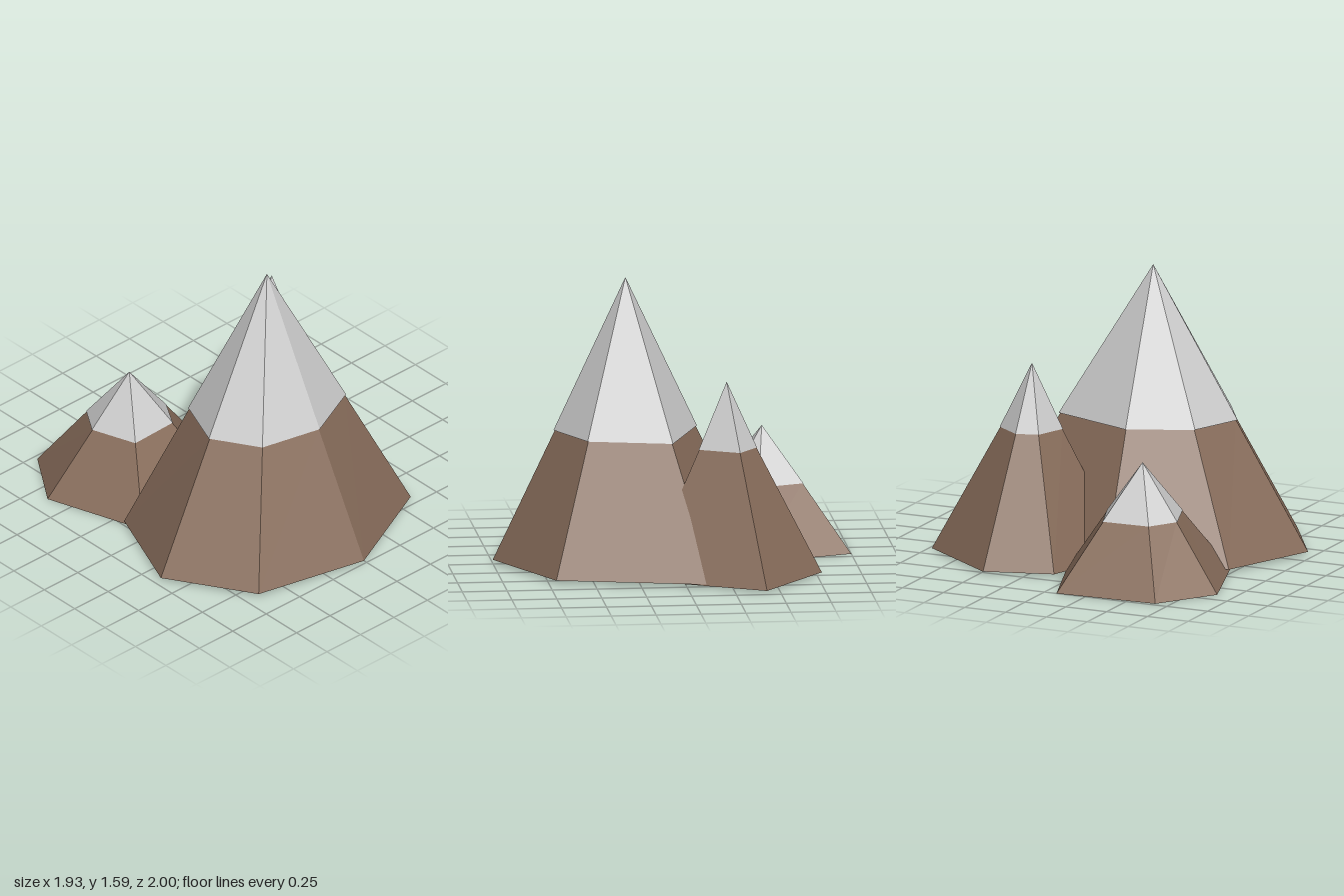
import * as THREE from 'three';

const rockMaterial = new THREE.MeshStandardMaterial({ color: 0x876c5a, flatShading: true });
const snowMaterial = new THREE.MeshStandardMaterial({ color: 0xcccccc, flatShading: true });

// Each peak: apex [x, y, z], base and snow line heights, then [x, z] corners
// running counter-clockwise as seen from above.
const peaks = [
  {
    name: 'mainPeak', apex: [-0.07, 1.59, 0.257], baseY: 0.02, snowY: 0.74,
    base: [[0.80, -0.15], [-0.12, -0.48], [-0.74, -0.18], [-0.965, 0.37], [-0.67, 0.85], [-0.02, 1.0], [0.593, 0.71]],
    snow: [[0.407, 0.042], [-0.09, -0.143], [-0.44, 0.016], [-0.558, 0.317], [-0.397, 0.58], [-0.042, 0.66], [0.296, 0.505]],
  },
  {
    name: 'sidePeak', apex: [0.43, 1.09, -0.254], baseY: 0.013, snowY: 0.72,
    base: [[0.963, -0.423], [0.481, -0.778], [0.10, -0.665], [-0.08, -0.10], [0.61, 0.235]],
    snow: [[0.60, -0.312], [0.452, -0.42], [0.328, -0.383], [0.263, -0.206], [0.487, -0.093]],
  },
  {
    name: 'backPeak', apex: [-0.38, 0.675, -0.534], baseY: 0, snowY: 0.37,
    base: [[0.125, -0.44], [-0.074, -1.0], [-0.667, -0.975], [-0.89, -0.645], [-0.70, -0.07], [-0.07, -0.09]],
    snow: [[-0.143, -0.492], [-0.238, -0.751], [-0.515, -0.74], [-0.615, -0.582], [-0.526, -0.323], [-0.238, -0.333]],
  },
];

const ringAt = (corners, y) => corners.map(([x, z]) => [x, y, z]);

// Closed solid from a bottom ring to a top ring, or to an apex when no top ring is given
function solid(bottom, top, apex) {
  const p = [];
  const n = bottom.length;
  for (let i = 0; i < n; i++) {
    const j = (i + 1) % n;
    if (top) {
      p.push(bottom[i], bottom[j], top[j], bottom[i], top[j], top[i]);
    } else {
      p.push(bottom[i], bottom[j], apex);
    }
    // bottom and top caps as fans
    if (i > 0 && i < n - 1) {
      p.push(bottom[0], bottom[j], bottom[i]);
      if (top) p.push(top[0], top[i], top[j]);
    }
  }
  const geometry = new THREE.BufferGeometry();
  geometry.setAttribute('position', new THREE.Float32BufferAttribute(p.flat(), 3));
  geometry.computeVertexNormals();
  return geometry;
}

function addMesh(parent, name, geometry, material) {
  const mesh = new THREE.Mesh(geometry, material);
  mesh.name = name;
  parent.add(mesh);
}

export function createModel() {
  const model = new THREE.Group();
  model.name = 'mountains';
  for (const { name, apex, baseY, snowY, base, snow } of peaks) {
    const peak = new THREE.Group();
    peak.name = name;
    // rock rim sits just inside the snow edge
    const rim = snow.map(([x, z]) => [apex[0] + (x - apex[0]) * 0.98, apex[2] + (z - apex[2]) * 0.98]);
    addMesh(peak, 'rockSlope', solid(ringAt(base, baseY), ringAt(rim, snowY)), rockMaterial);
    addMesh(peak, 'snowCap', solid(ringAt(snow, snowY), null, apex), snowMaterial);
    model.add(peak);
  }
  return model;
}
